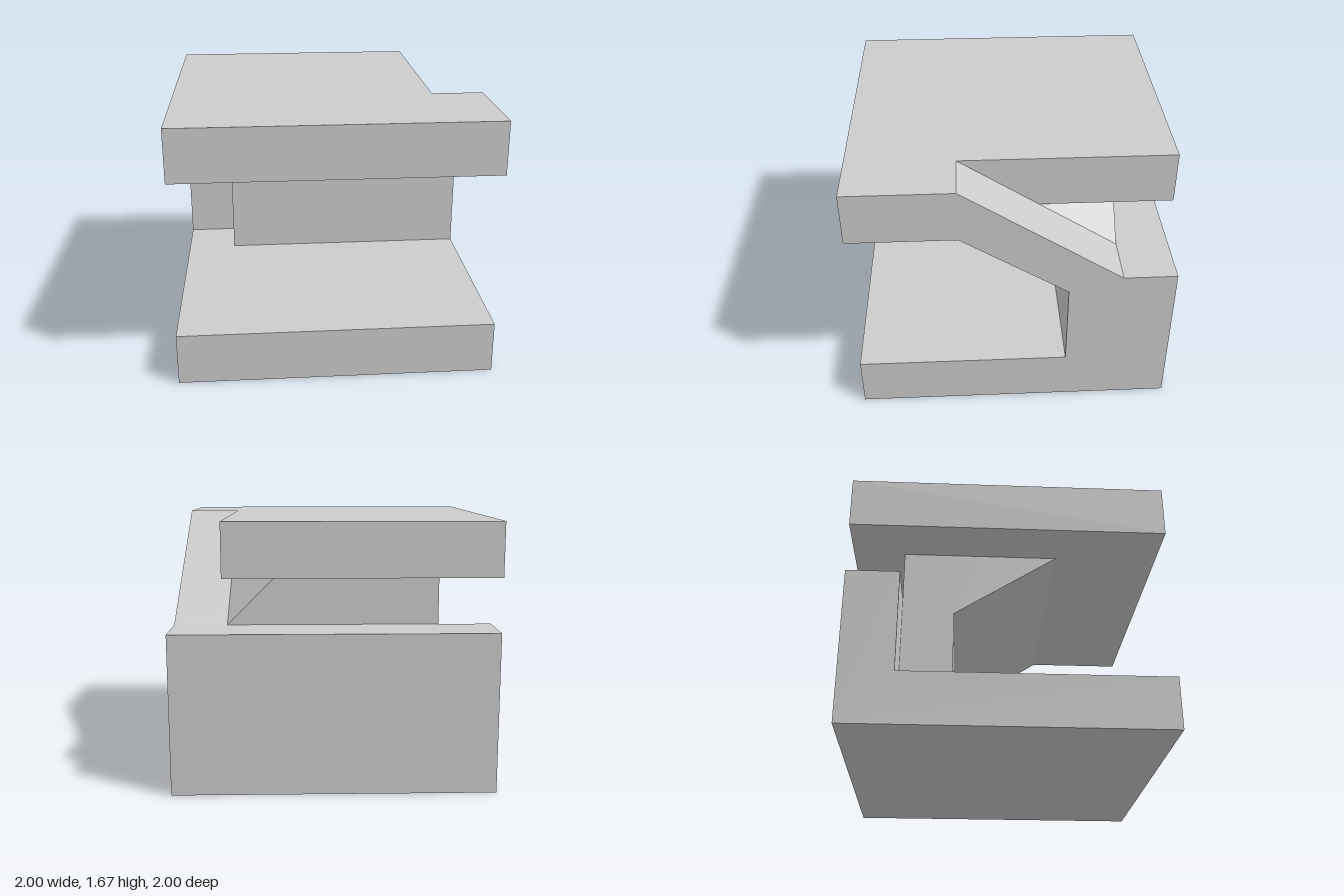
import * as THREE from 'three';

const T = 1 / 3, D = 2 / 3, H = 5 / 3;   // slab thickness, inset line, total height

export function createModel() {
  const group = new THREE.Group();
  const material = new THREE.MeshStandardMaterial({ color: 0xcccccc, flatShading: true });

  const add = (name, geometry) => {
    const mesh = new THREE.Mesh(geometry, material);
    mesh.name = name;
    group.add(mesh);
  };
  const extrude = (points, depth) => new THREE.ExtrudeGeometry(
    new THREE.Shape(points.map(([x, y]) => new THREE.Vector2(x, y))),
    { depth, bevelEnabled: false });
  // Side profile of [z, y] points, extruded from x0 to x1
  const profile = (points, x0, x1) =>
    extrude(points, x1 - x0).rotateY(-Math.PI / 2).translate(x1, 0, 0);

  // Floor slab with the low wall along the back
  add('baseAndBackWall', profile(
    [[-1, 0], [1, 0], [1, T], [-D, T], [-D, 1], [-1, 1]], -1, 1));

  // Upright that leans forward to carry the upper slab
  add('leaningSupport', profile(
    [[-D, T], [-T, T], [-T, 0.9], [T, 2 * D], [-T / 2, 2 * D], [-D, 1]], -D, 1));

  // Wedge filling the gap behind the support, its +x end cut on a slant
  const wedge = profile([[-D, 1], [-T / 2, 2 * D], [-D, 2 * D]], -D, D);
  const pos = wedge.attributes.position;
  for (let i = 0; i < pos.count; i++) {
    if (pos.getX(i) > 0 && pos.getY(i) > 1.2 && pos.getZ(i) < -0.5) pos.setX(i, T);
  }
  wedge.computeVertexNormals();
  add('rearWedge', wedge);

  // Upper slab with a notch in its back +x corner
  add('upperSlab', extrude(
    [[-1, -1], [1, -1], [1, -T], [D, -T], [D, 1], [-1, 1]], H - 2 * D)
    .rotateX(-Math.PI / 2).translate(0, 2 * D, 0));

  // Top of the open ramp inside the notch
  add('rampTop', profile([[-T / 2, 2 * D], [T, 2 * D], [T, H]], D, 1));

  return group;
}
